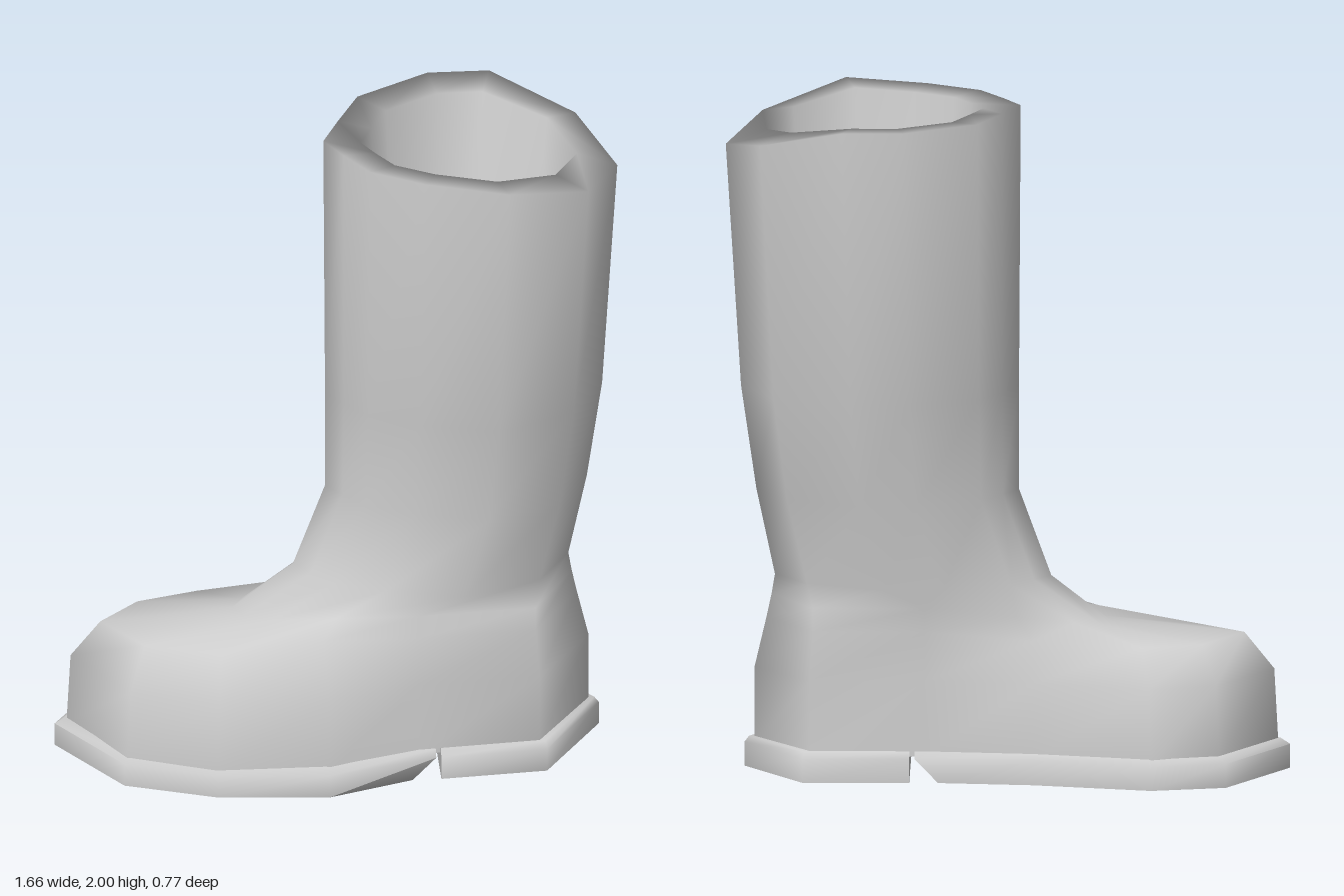
import * as THREE from 'three';
import { toCreasedNormals } from 'three/addons/utils/BufferGeometryUtils.js';

const material = new THREE.MeshStandardMaterial({ color: 0xcccccc });

// Skin a stack of rings (each a loop of [x, y, z]); optional flat caps get their own vertices.
function loft(rings, capBottom, capTop) {
  const n = rings[0].length;
  const pos = rings.flat(2);
  const index = [];
  for (let r = 0; r < rings.length - 1; r++) {
    for (let i = 0; i < n; i++) {
      const a = r * n + i, b = r * n + (i + 1) % n;
      index.push(a, b, b + n, a, b + n, a + n);
    }
  }
  const cap = (ring, up) => {
    const base = pos.length / 3;
    pos.push(...ring.flat());
    const c = [0, 1, 2].map(k => ring.reduce((s, p) => s + p[k], 0) / n);
    pos.push(...c);
    for (let i = 0; i < n; i++) {
      const a = base + i, b = base + (i + 1) % n;
      index.push(base + n, up ? a : b, up ? b : a);
    }
  };
  if (capBottom) cap(rings[0], false);
  if (capTop) cap(rings[rings.length - 1], true);
  const g = new THREE.BufferGeometry();
  g.setAttribute('position', new THREE.Float32BufferAttribute(pos, 3));
  g.setIndex(index);
  g.computeVertexNormals();
  return g;
}

// Shaft cross-section: [0..1 along x, -1..1 along z]
const SECTION = [[0, 0], [0.06, 0.25], [0.14, 0.54], [0.32, 0.78], [0.6, 1], [0.88, 0.65],
  [1, 0], [0.88, -0.62], [0.6, -1], [0.39, -1], [0.14, -0.67], [0.06, -0.3]];

function shaftRing(y, x0, x1, zPlus, zMinus) {
  return SECTION.map(([u, v]) => [x0 + u * (x1 - x0), y, v * (v > 0 ? zPlus : zMinus)]);
}

// The top edge drops toward the back of the leg
function slopeRim(ring) {
  return ring.map(([x, y, z]) => [x, y - 0.12 * Math.max(0, (x - 0.47) / 0.36) ** 1.5, z]);
}

// Foot outline at the welt
const FOOT = [[-0.8, 0], [-0.64, 0.25], [-0.38, 0.345], [-0.05, 0.36], [0.22, 0.28], [0.58, 0.25],
  [0.745, 0], [0.58, -0.2], [0.24, -0.2], [-0.08, -0.23], [-0.43, -0.3], [-0.63, -0.25]];

// Top of the toe cap and the instep, running back round the heel
const VAMP = [[-0.7, 0.41, 0], [-0.58, 0.4, 0.14], [-0.36, 0.41, 0.23], [-0.06, 0.45, 0.25],
  [0.22, 0.45, 0.25], [0.57, 0.45, 0.23], [0.71, 0.45, 0], [0.57, 0.45, -0.2],
  [0.24, 0.45, -0.2], [-0.08, 0.42, -0.18], [-0.4, 0.4, -0.18], [-0.58, 0.4, -0.13]];
const INSTEP = [[-0.31, 0.44, 0], [-0.28, 0.445, 0.06], [-0.2, 0.47, 0.14], [-0.02, 0.51, 0.22],
  [0.22, 0.52, 0.245], [0.57, 0.52, 0.22], [0.695, 0.52, 0], [0.57, 0.52, -0.19],
  [0.24, 0.52, -0.2], [-0.03, 0.49, -0.17], [-0.2, 0.46, -0.11], [-0.28, 0.44, -0.05]];

function makeUpper() {
  return loft([
    FOOT.map(([x, z]) => [x, 0.075, z]),
    FOOT.map(([x, z]) => [x < 0 ? x * 0.985 : x, 0.3, z * 0.97]),
    VAMP,
    INSTEP,
    shaftRing(0.58, -0.13, 0.685, 0.245, 0.215),
    shaftRing(0.84, -0.035, 0.74, 0.255, 0.255),
    shaftRing(1.15, -0.035, 0.785, 0.28, 0.29),
    slopeRim(shaftRing(2, -0.04, 0.83, 0.37, 0.39)),
    // folded over the rim, down the inside to a closed bottom
    slopeRim(shaftRing(1.99, 0.07, 0.71, 0.27, 0.28)),
    shaftRing(1.1, 0.12, 0.65, 0.19, 0.2),
    shaftRing(1.0, 0.38, 0.38, 0, 0),
  ], true, false);
}

// Sole slab: straight wall, then a soft bevel up to the welt; the cut end may be undercut
function makeSole(outline, cutX, undercut) {
  const cx = outline.reduce((s, p) => s + p[0], 0) / outline.length;
  const isCut = x => x === cutX;
  const bottom = outline.map(([x, z]) => [isCut(x) ? x - undercut : x, 0, z]);
  const wall = outline.map(([x, z]) => [x, 0.072, z]);
  const welt = outline.map(([x, z]) => [isCut(x) ? x : cx + (x - cx) * 0.95, 0.09, z * 0.93]);
  return toCreasedNormals(loft([bottom, wall, welt], true, true), 1.3);
}

export function createModel() {
  const group = new THREE.Group();
  group.name = 'boot';
  const add = (name, geometry) => {
    const mesh = new THREE.Mesh(geometry, material);
    mesh.name = name;
    group.add(mesh);
  };

  add('upper', makeUpper());
  add('frontSole', makeSole([[-0.835, 0], [-0.65, 0.265], [-0.38, 0.36], [-0.05, 0.385], [0.27, 0.3],
    [0.27, -0.225], [-0.08, -0.25], [-0.43, -0.32], [-0.65, -0.275]], 0.27, 0.07));
  add('heel', makeSole([[0.285, 0.3], [0.6, 0.275], [0.775, 0], [0.6, -0.23], [0.285, -0.225]], 0.285, 0));
  return group;
}
